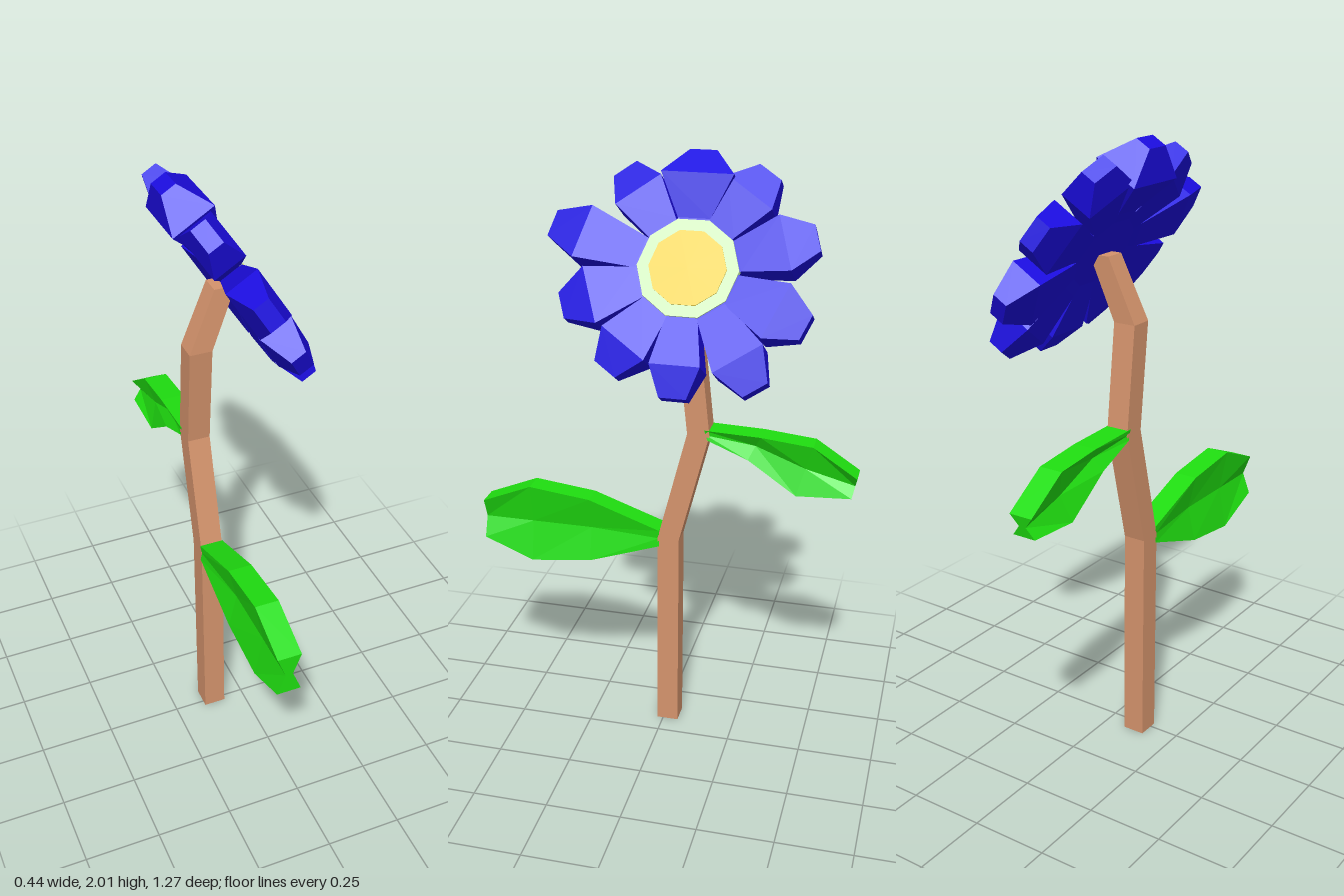
import * as THREE from 'three';

const mat = (color) => new THREE.MeshStandardMaterial({ color, flatShading: true });
const BLUE = mat(0x1b0ce0), GREEN = mat(0x1fdd10), STEM = mat(0xd4936c);
const YELLOW = mat(0xe4c814), PALE = mat(0xc4e6b0);

// Skin a row of equal-length rings of [x, y, z] points and cap both ends.
function loft(rings) {
  const tris = [], n = rings[0].length;
  for (let i = 0; i < rings.length - 1; i++) {
    const a = rings[i], b = rings[i + 1];
    for (let j = 0; j < n; j++) {
      const k = (j + 1) % n;
      tris.push([a[j], a[k], b[k]], [a[j], b[k], b[j]]);
    }
  }
  const first = rings[0], last = rings[rings.length - 1];
  for (let j = 1; j < n - 1; j++) {
    tris.push([first[0], first[j + 1], first[j]], [last[0], last[j], last[j + 1]]);
  }
  // Turn the faces outwards if the rings ran the other way
  let volume = 0;
  const v = (p) => new THREE.Vector3(...p);
  for (const [p, q, r] of tris) volume += v(p).dot(v(q).cross(v(r)));
  if (volume < 0) tris.forEach((t) => t.reverse());
  const geo = new THREE.BufferGeometry();
  geo.setAttribute('position', new THREE.Float32BufferAttribute(tris.flat(2), 3));
  geo.computeVertexNormals();
  return geo;
}

function add(parent, name, geo, material) {
  const mesh = new THREE.Mesh(geo, material);
  mesh.name = name;
  parent.add(mesh);
  return mesh;
}

// Leaf with an hourglass section: full width on both rims, pinched along the midline.
// Each station is [zTop, yTop, zBottom, yBottom, waist half-width].
function leafGeometry(stations) {
  const cx = -0.11, w = 0.039;
  return loft(stations.map(([zt, yt, zb, yb, waist]) => {
    const zm = (zt + zb) / 2, ym = (yt + yb) / 2;
    return [
      [cx + waist, ym, zm], [cx + w, yb, zb], [cx - w, yb, zb],
      [cx - waist, ym, zm], [cx - w, yt, zt], [cx + w, yt, zt],
    ];
  }));
}

// Petal along +y: narrow root, broad thick middle, blunt tip
function petalGeometry(length, width, thick) {
  const stations = [
    [0.12, 0.046, 0.036],
    [0.155, 0.05, 0.04],
    [length * 0.76, width, thick],
    [length, 0.042, 0.026],
  ];
  return loft(stations.map(([y, w, t]) => [[w, y, t], [-w, y, t], [-w, y, -t], [w, y, -t]]));
}

export function createModel() {
  const model = new THREE.Group();
  model.name = 'flower';

  // Square bent stem: [x, y, z, half-width]
  const bends = [
    [-0.11, 0, -0.016, 0.037],
    [-0.11, 0.72, -0.016, 0.037],
    [-0.11, 1.11, -0.115, 0.037],
    [-0.11, 1.45, -0.078, 0.037],
    [-0.024, 1.65, -0.09, 0.034],
  ];
  add(model, 'stem', loft(bends.map(([x, y, z, h]) => [
    [x + h, y, z + h], [x + h, y, z - h], [x - h, y, z - h], [x - h, y, z + h],
  ])), STEM);

  // Leaves
  add(model, 'lowerLeaf', leafGeometry([
    [0.015, 0.748, 0.015, 0.69, 0.036],
    [0.26, 0.835, 0.26, 0.605, 0.012],
    [0.47, 0.86, 0.47, 0.58, 0.012],
    [0.64, 0.79, 0.64, 0.65, 0.012],
  ]), GREEN);
  add(model, 'upperLeaf', leafGeometry([
    [-0.135, 1.128, -0.145, 1.095, 0.036],
    [-0.32, 1.122, -0.28, 1.04, 0.012],
    [-0.49, 1.105, -0.44, 0.93, 0.012],
    [-0.635, 1.01, -0.62, 0.94, 0.012],
  ]), GREEN);

  // Tilted flower head: local z is the way it faces
  const head = new THREE.Group();
  head.name = 'flowerHead';
  const up = new THREE.Vector3(-0.52, 0.854, 0).normalize();
  const face = new THREE.Vector3(up.y, -up.x, 0);
  head.quaternion.setFromRotationMatrix(
    new THREE.Matrix4().makeBasis(new THREE.Vector3(0, 0, -1), up, face));
  head.position.set(0.005, 1.672, -0.1);
  model.add(head);

  // Petals: [degrees clockwise from the top, length, half-width, half-thickness]
  const petals = [
    [0, 0.375, 0.112, 0.075], [34, 0.38, 0.088, 0.056], [72, 0.395, 0.088, 0.056],
    [112, 0.4, 0.092, 0.056], [145, 0.425, 0.085, 0.056], [180, 0.395, 0.078, 0.056],
    [214, 0.39, 0.085, 0.056], [250, 0.405, 0.092, 0.056], [285, 0.46, 0.085, 0.056],
    [322, 0.385, 0.082, 0.056],
  ];
  for (const [deg, length, width, thick] of petals) {
    const petal = add(head, 'petal', petalGeometry(length, width, thick), BLUE);
    petal.rotation.z = -THREE.MathUtils.degToRad(deg);
  }

  // Flower base, pale ring and yellow centre
  const disc = (name, rTop, rBottom, z0, z1, material) => {
    const geo = new THREE.CylinderGeometry(rTop, rBottom, z1 - z0, 10);
    geo.rotateY(Math.PI / 10).rotateX(Math.PI / 2).translate(0, 0, (z0 + z1) / 2);
    add(head, name, geo, material);
  };
  disc('flowerBase', 0.155, 0.15, -0.036, 0.03, BLUE);
  disc('paleRing', 0.157, 0.16, 0.03, 0.043, PALE);
  disc('flowerCentre', 0.12, 0.12, 0.035, 0.046, YELLOW);

  return model;
}
